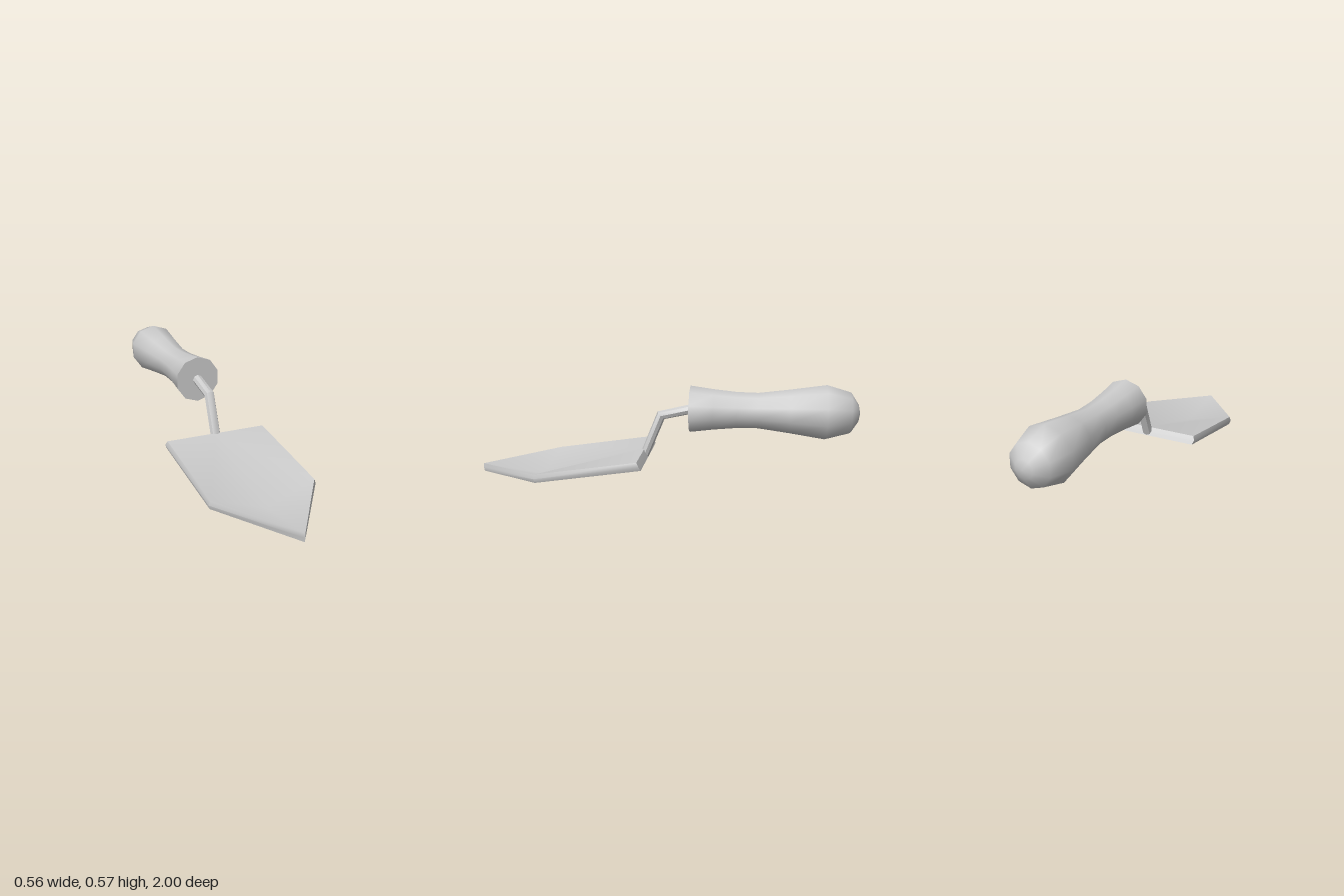
import * as THREE from 'three';
import { toCreasedNormals } from 'three/addons/utils/BufferGeometryUtils.js';

const grey = new THREE.MeshStandardMaterial({ color: 0xcccccc });

function fromTriangles(points, tris, crease) {
  const g = new THREE.BufferGeometry();
  g.setAttribute('position', new THREE.Float32BufferAttribute(points.flat(), 3));
  g.setIndex(tris.flat());
  return toCreasedNormals(g.toNonIndexed(), crease);
}

function part(name, geometry) {
  const mesh = new THREE.Mesh(geometry, grey);
  mesh.name = name;
  return mesh;
}

// Outline ring of the blade, counterclockwise from above, starting at the back left
function outline(w, back, side, tip) {
  return [
    [w, ...back], [0, ...back], [-w, ...back],
    [-w, ...side], [0, ...tip], [w, ...side],
  ];
}

// Pointed blade with a bulging rim, dished on top and keeled underneath
function bladeGeometry() {
  const rings = [
    outline(0.27, [0.165, 0.08], [0.08, 0.625], [0.048, 0.995]),
    outline(0.278, [0.185, 0.09], [0.102, 0.63], [0.07, 1]),
    outline(0.27, [0.206, 0.102], [0.124, 0.63], [0.091, 0.997]),
  ];
  const keel = 18, dish = 19;
  const points = [...rings.flat(), [0, 0, 0.65], [0, 0.045, 0.66]];
  const tris = [];
  for (let i = 0; i < 6; i++) {
    const j = (i + 1) % 6;
    for (const r of [0, 6]) {
      tris.push([r + i, r + j, r + 6 + j], [r + i, r + 6 + j, r + 6 + i]);
    }
  }
  // Back corners fold off the middle of the back edge; the rest slopes to the centre
  for (const [a, b] of [[1, 3], [3, 4], [4, 5], [5, 1]]) {
    tris.push([keel, b, a], [dish, 12 + a, 12 + b]);
  }
  for (const [a, b] of [[2, 3], [5, 0]]) {
    tris.push([1, b, a], [13, 12 + a, 12 + b]);
  }
  return fromTriangles(points, tris, 0.75);
}

// Eight-sided cranked rod with a mitred bend
function tangGeometry() {
  // centre y, z and the half-width direction y, z of each section
  const sections = [
    [0.186, 0.096, 0.02, 0.017],
    [0.39, 0.013, 0.02, 0.018],
    [0.431, -0.16, 0.025, 0.006],
  ];
  const n = 8, points = [], tris = [];
  for (const [y, z, dy, dz] of sections) {
    for (let i = 0; i < n; i++) {
      const a = (i / n) * Math.PI * 2, c = Math.cos(a);
      points.push([0.027 * Math.sin(a), y + dy * c, z + dz * c]);
    }
  }
  for (let s = 0; s < 2; s++) {
    for (let i = 0; i < n; i++) {
      const a = s * n + i, b = s * n + (i + 1) % n;
      tris.push([a, b, b + n], [a, b + n, a + n]);
    }
  }
  for (let i = 1; i < n - 1; i++) tris.push([0, i + 1, i], [2 * n, 2 * n + i, 2 * n + i + 1]);
  return fromTriangles(points, tris, 0.72);
}

// Ten-sided turned grip: flat front, narrow waist, rounded end
function handleGeometry() {
  const profile = [
    [0, 0.14], [0.123, 0.14], [0.107, 0.26], [0.095, 0.38], [0.093, 0.49],
    [0.114, 0.65], [0.141, 0.83], [0.106, 0.95], [0.045, 0.99], [0, 1],
  ].map(([r, l]) => new THREE.Vector2(r, l));
  const g = new THREE.LatheGeometry(profile, 10);
  g.rotateX(-Math.PI / 2);
  g.translate(0, 0.428, 0);
  return toCreasedNormals(g, 0.9);
}

export function createModel() {
  const model = new THREE.Group();
  model.name = 'trowel';
  model.add(
    part('blade', bladeGeometry()),
    part('tang', tangGeometry()),
    part('handle', handleGeometry()),
  );
  return model;
}
